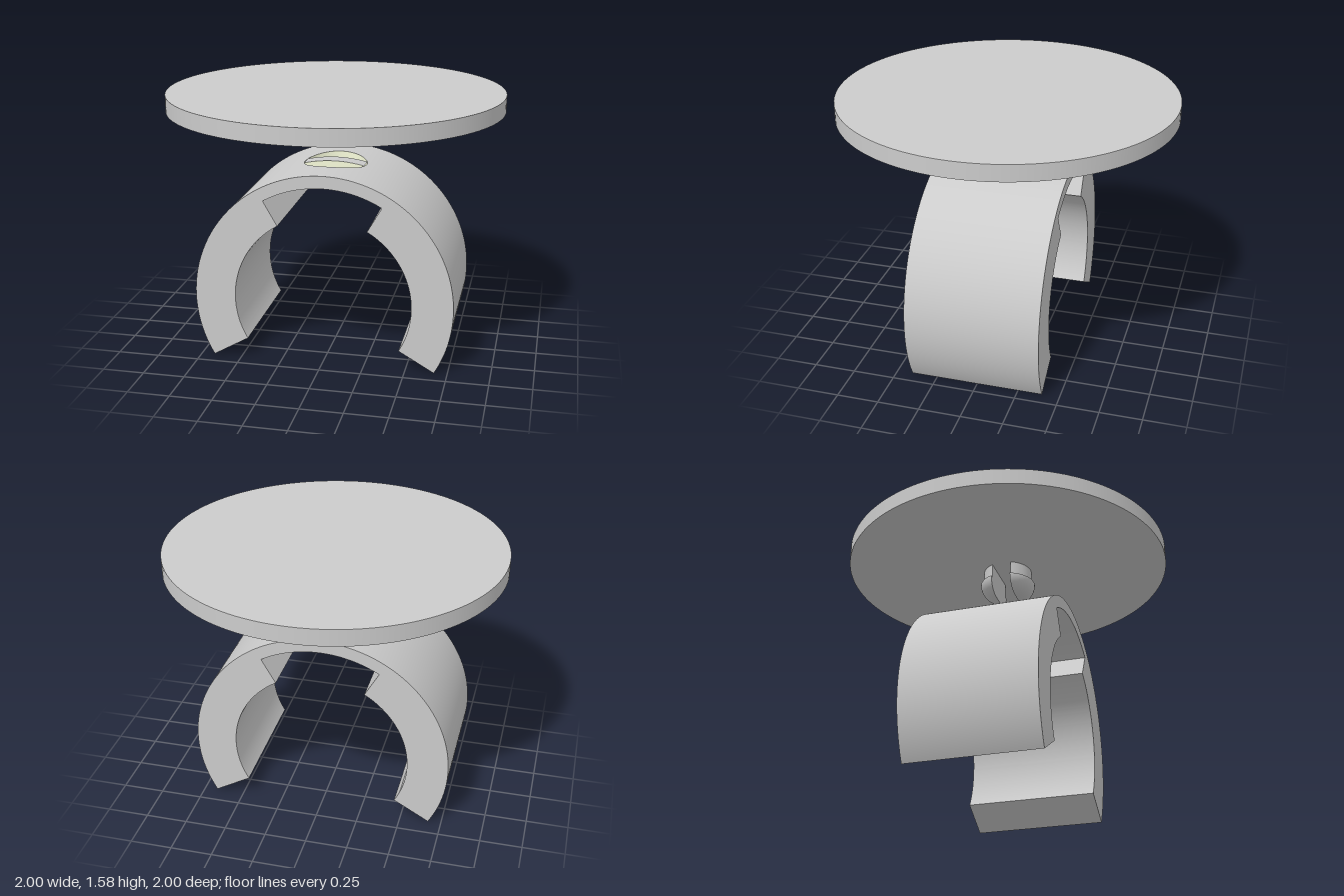
import * as THREE from 'three';
import { toCreasedNormals } from 'three/addons/utils/BufferGeometryUtils.js';

const GREY = new THREE.MeshStandardMaterial({ color: 0xcccccc });
const PALE = new THREE.MeshStandardMaterial({ color: 0xf8fcdc });

// Clip dimensions (arc centre at the clip group's origin)
const OUTER = 0.775, INNER = 0.53, NOTCH = 0.70, HALF_DEPTH = 0.4;
const HOLE = 0.19, BAR = 0.05;

function addMesh(parent, name, geometry, material = GREY) {
  const mesh = new THREE.Mesh(geometry, material);
  mesh.name = name;
  parent.add(mesh);
  return mesh;
}

// Joins equal-length loops of points; only the listed loop edges get a skin.
function loft(sections, edges, capStart = false) {
  const pos = [];
  const push = (...pts) => pts.forEach((p) => pos.push(...p));
  const n = sections[0].length;
  for (let i = 0; i < sections.length - 1; i++) {
    for (const j of edges) {
      const k = (j + 1) % n;
      const a = sections[i][j], b = sections[i][k];
      const c = sections[i + 1][k], d = sections[i + 1][j];
      push(a, b, c, a, c, d);
    }
  }
  if (capStart) {
    const s = sections[0];
    for (let j = 1; j < n - 1; j++) push(s[0], s[j + 1], s[j]);
  }
  const g = new THREE.BufferGeometry();
  g.setAttribute('position', new THREE.Float32BufferAttribute(pos, 3));
  return toCreasedNormals(g, 0.5);
}

// Curved wall slices across the crown; zA and zB bound the slice at each x.
function crownSections(xMax, side, zA, zB) {
  const sections = [];
  const steps = 48;
  for (let i = 0; i <= steps; i++) {
    const x = side * xMax * Math.cos((Math.PI * i) / steps);
    const top = Math.sqrt(OUTER ** 2 - x * x), low = Math.sqrt(NOTCH ** 2 - x * x);
    sections.push([[x, top, zA(x)], [x, top, zB(x)], [x, low, zB(x)], [x, low, zA(x)]]);
  }
  return sections;
}

function createClip() {
  const clip = new THREE.Group();
  clip.name = 'clip';

  // One jaw: thick arc with a step to the thin crown
  const end = -Math.PI / 6, step = Math.PI / 3;
  const jaw = new THREE.Shape();
  jaw.absarc(0, 0, OUTER, end, Math.acos(HOLE / OUTER), false);
  jaw.absarc(0, 0, NOTCH, Math.acos(HOLE / NOTCH), step, true);
  jaw.absarc(0, 0, INNER, step, end, true);
  jaw.closePath();
  const jawGeometry = toCreasedNormals(
    new THREE.ExtrudeGeometry(jaw, { depth: 2 * HALF_DEPTH, bevelEnabled: false, curveSegments: 48 })
      .translate(0, 0, -HALF_DEPTH), 0.4);
  addMesh(clip, 'leftJaw', jawGeometry);
  addMesh(clip, 'rightJaw', jawGeometry).rotation.y = Math.PI;

  // Crown around the round hole, front and back halves
  for (const side of [1, -1]) {
    const where = side > 0 ? 'front' : 'back';
    const sections = crownSections(HOLE, side,
      () => side * HALF_DEPTH,
      (x) => side * Math.sqrt(Math.max(0, HOLE ** 2 - x * x)));
    addMesh(clip, where + 'Crown', loft(sections, [0, 2, 3]));
    addMesh(clip, where + 'HoleWall', loft(sections, [1]), PALE);
  }

  // Bar that splits the hole into two slots
  const bar = crownSections(Math.sqrt(HOLE ** 2 - BAR ** 2), 1, () => BAR, () => -BAR);
  addMesh(clip, 'holeBar', loft(bar, [0, 2]));
  addMesh(clip, 'holeBarSides', loft(bar, [1, 3]), PALE);
  return clip;
}

// Half of the split snap peg: a round profile cut off by a flat plane
function createProngGeometry() {
  const gap = 0.06, columns = 32;
  const profile = [];
  for (let i = 0; i <= 12; i++) {
    const t = (Math.PI / 2) * (1 - i / 12);
    profile.push([0.07 + 0.1 * Math.cos(t), 1.4 - 0.1 * Math.sin(t)]);
  }
  profile.push([0.15, 1.4], [0.15, 1.49]);
  const sections = profile.map(([r, y]) => {
    const a = Math.acos(gap / r);
    return Array.from({ length: columns + 1 }, (_, j) => {
      const phi = a * ((2 * j) / columns - 1);
      return [r * Math.sin(phi), y, r * Math.cos(phi)];
    });
  });
  return loft(sections, [...Array(columns + 1).keys()], true);
}

export function createModel() {
  const model = new THREE.Group();
  model.name = 'discWithClip';

  // Round plate
  addMesh(model, 'plate', new THREE.CylinderGeometry(1, 1, 0.098, 128)).position.y = 1.538;

  // Snap peg under the plate
  const prong = createProngGeometry();
  addMesh(model, 'frontProng', prong);
  addMesh(model, 'backProng', prong).rotation.y = Math.PI;

  // Open ring clip below
  const clip = createClip();
  clip.position.set(0, 0.3925, 0.005);
  model.add(clip);
  return model;
}
